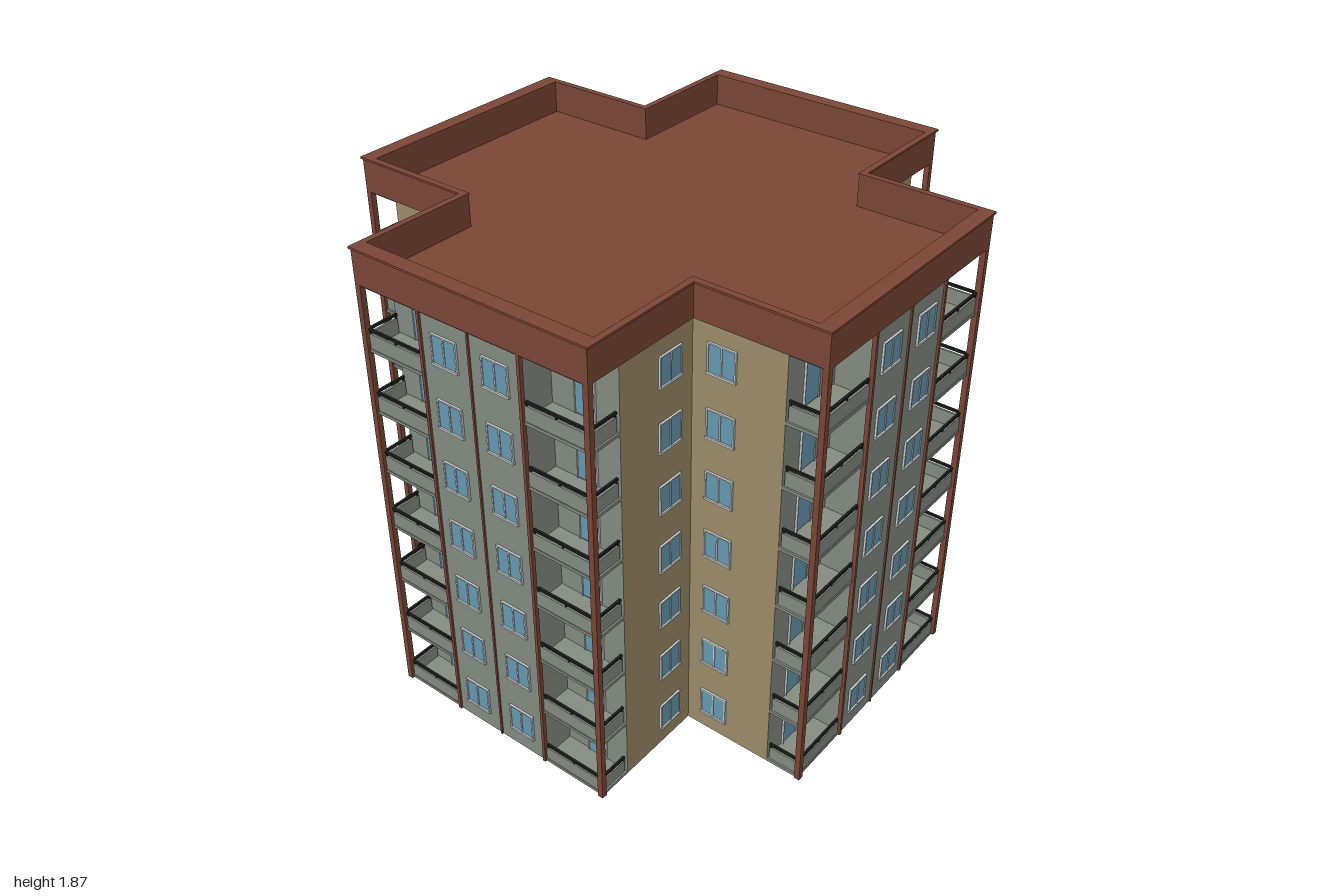
import * as THREE from 'three';
import { mergeGeometries } from 'three/addons/utils/BufferGeometryUtils.js';

const FLOORS = 7, STEP = 0.2475, TOP = 1.74;
const SIDE = 0.49, END = 0.985;   // half width and reach of an arm
const INNER = 0.215, BACK = 0.85; // inner edge and back wall of a balcony

export function createModel() {
  const mat = (name, color, side = THREE.FrontSide) => {
    const m = new THREE.MeshStandardMaterial({ color, side });
    m.name = name;
    return m;
  };
  const brick = mat('brown trim', 0x7a4635);
  const grey = mat('grey render', 0x848c82, THREE.DoubleSide);
  const tan = mat('tan render', 0x9c8d6a, THREE.DoubleSide);
  const glass = mat('blue glass', 0x689bb2);
  const white = mat('white frame', 0xc9cecd);
  const black = mat('black railing', 0x1b1d1c);

  const box = (w, h, d, x, y, z) => new THREE.BoxGeometry(w, h, d).translate(x, y, z);
  const part = (parent, name, material, geos) => {
    const mesh = new THREE.Mesh(mergeGeometries(geos), material);
    mesh.name = name;
    parent.add(mesh);
  };
  // upright wall sheet between two plan points
  const sheet = (x1, z1, x2, z2) => {
    const dx = x2 - x1, dz = z2 - z1;
    return new THREE.PlaneGeometry(Math.hypot(dx, dz), TOP)
      .rotateY(-Math.atan2(dz, dx))
      .translate((x1 + x2) / 2, TOP / 2, (z1 + z2) / 2);
  };

  // one arm of the cross, facing +z
  const arm = new THREE.Group();
  const tanWalls = [], greyWalls = [sheet(-INNER, END, INNER, END)];
  const posts = [box(0.008, TOP, 0.012, 0, TOP / 2, END)];
  const panes = [], frames = [], balconies = [], rails = [], doors = [], doorFrames = [];

  // two-pane window centred on the wall, turned to face along angle
  const addWindow = (x, y, z, angle) => {
    const place = g => g.rotateY(angle).translate(x, y, z);
    panes.push(place(box(0.11, 0.11, 0.01, 0, 0, 0)));
    for (const t of [-0.053, 0, 0.053]) frames.push(place(box(0.006, 0.112, 0.016, t, 0, 0)));
    frames.push(place(box(0.112, 0.005, 0.016, 0, 0.054, 0)));
    frames.push(place(box(0.116, 0.008, 0.022, 0, -0.055, 0)));
  };

  for (const s of [-1, 1]) {
    tanWalls.push(sheet(s * SIDE, SIDE, s * SIDE, BACK));
    greyWalls.push(sheet(s * SIDE, BACK, s * INNER, BACK), sheet(s * INNER, BACK, s * INNER, END));
    posts.push(box(0.022, TOP, 0.022, s * 0.485, TOP / 2, 0.984));
    posts.push(box(0.012, TOP, 0.016, s * INNER, TOP / 2, END));

    const midX = s * (SIDE + INNER) / 2, midZ = (BACK + END) / 2;
    const w = SIDE - INNER, d = END - BACK;
    for (let i = 0; i < FLOORS; i++) {
      const y = i * STEP;
      addWindow(s * 0.11, y + 0.13, END, 0);
      addWindow(s * SIDE, y + 0.13, 0.607, s * Math.PI / 2);

      // balcony floor, front panel and side panel
      balconies.push(box(w, 0.012, d, midX, y + 0.002 + (i ? 0 : 0.004), midZ));
      balconies.push(box(w - 0.01, 0.066, 0.008, midX, y + 0.033, 0.978));
      balconies.push(box(0.008, 0.066, d - 0.01, s * 0.479, y + 0.033, midZ));

      // handrails on short stubs
      rails.push(box(w - 0.02, 0.009, 0.009, midX, y + 0.08, 0.978));
      rails.push(box(0.009, 0.009, d - 0.01, s * 0.479, y + 0.08, midZ));
      for (const x of [0.228, 0.35, 0.47]) rails.push(box(0.006, 0.016, 0.006, s * x, y + 0.07, 0.978));
      rails.push(box(0.006, 0.016, 0.006, s * 0.479, y + 0.07, BACK + 0.01));

      // balcony door
      doors.push(box(0.078, 0.17, 0.01, s * 0.355, y + 0.1, BACK));
      doorFrames.push(box(0.084, 0.005, 0.016, s * 0.355, y + 0.186, BACK));
      for (const t of [-0.04, 0.04])
        doorFrames.push(box(0.004, 0.176, 0.016, s * 0.355 + t, y + 0.1, BACK));
    }
  }
  part(arm, 'tanWalls', tan, tanWalls);
  part(arm, 'greyWalls', grey, greyWalls);
  part(arm, 'postsAndPilasters', brick, posts);
  part(arm, 'windowPanes', glass, panes);
  part(arm, 'windowFrames', white, frames);
  part(arm, 'balconies', grey, balconies);
  part(arm, 'handrails', black, rails);
  part(arm, 'balconyDoors', glass, doors);
  part(arm, 'doorFrames', white, doorFrames);

  const model = new THREE.Group();
  model.name = 'apartmentBlock';
  ['front', 'left', 'back', 'right'].forEach((side, i) => {
    const copy = arm.clone();
    copy.name = side + 'Wing';
    copy.rotation.y = i * Math.PI / 2;
    model.add(copy);
  });

  // cross-shaped roof slabs: a is the half width of an arm, b its reach
  const cross = (a, b) => [
    [a, a], [a, b], [-a, b], [-a, a], [-b, a], [-b, -a],
    [-a, -a], [-a, -b], [a, -b], [a, -a], [b, -a], [b, a],
  ].map(p => new THREE.Vector2(...p));
  const slab = (name, material, y, h, outer, inner) => {
    const shape = new THREE.Shape(cross(...outer));
    if (inner) shape.holes.push(new THREE.Path(cross(...inner)));
    const geo = new THREE.ExtrudeGeometry(shape, { depth: h, bevelEnabled: false });
    part(model, name, material, [geo.rotateX(-Math.PI / 2).translate(0, y, 0)]);
  };
  slab('soffit', grey, 1.73, 0.006, [0.49, 0.99]);
  slab('roofDeck', brick, 1.736, 0.008, [0.49, 0.99]);
  slab('parapet', brick, 1.736, 0.126, [0.496, 0.995], [0.48, 0.945]);
  slab('parapetCap', brick, 1.862, 0.008, [0.503, 1.0], [0.478, 0.943]);
  return model;
}
